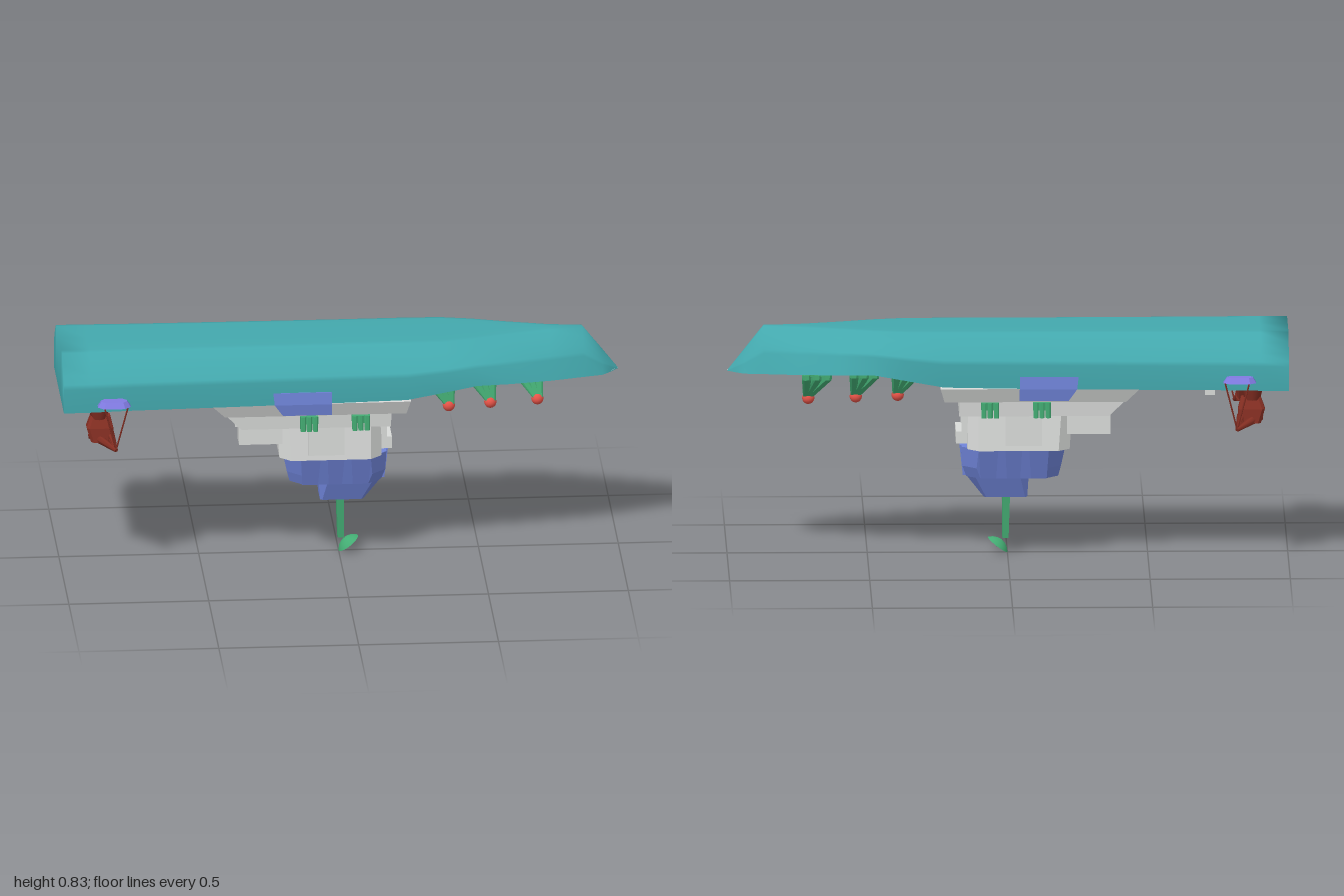
import * as THREE from 'three';
import { ConvexGeometry } from 'three/addons/geometries/ConvexGeometry.js';

const mat = (name, color, extra = {}) => {
  const m = new THREE.MeshStandardMaterial({ color, ...extra });
  m.name = name;
  return m;
};

export function createModel() {
  const group = new THREE.Group();
  const teal = mat('teal hull', 0x43a8ad, { side: THREE.DoubleSide });
  const grey = mat('light grey', 0xd9dbd9, { side: THREE.DoubleSide });
  const blue = mat('tower blue', 0x7085da);
  const violet = mat('boat violet', 0x807ae0);
  const green = mat('green', 0x43ac73, { side: THREE.DoubleSide });
  const red = mat('red', 0xec564a);
  const maroon = mat('maroon', 0x842e22);
  const gold = mat('gold', 0xc2974a);
  const V = (x, y, z) => new THREE.Vector3(x, y, z);

  const add = (name, geo, m, x = 0, y = 0, z = 0) => {
    const mesh = new THREE.Mesh(geo, m);
    mesh.name = name;
    mesh.position.set(x, y, z);
    group.add(mesh);
    return mesh;
  };
  const box = (name, m, x0, x1, y0, y1, z0, z1) =>
    add(name, new THREE.BoxGeometry(x1 - x0, y1 - y0, Math.abs(z1 - z0)), m, (x0 + x1) / 2, (y0 + y1) / 2, (z0 + z1) / 2);
  // solid through horizontal sections [y, x0, x1, half width, corner cut, centre z]
  const solid = (name, m, ...sections) => {
    const pts = [];
    for (const [y, x0, x1, w, c = 0, cz = 0] of sections)
      for (const s of [-1, 1]) {
        pts.push(V(x0 + c, y, cz + s * w), V(x1 - c, y, cz + s * w));
        if (c) pts.push(V(x0, y, cz + s * (w - c)), V(x1, y, cz + s * (w - c)));
      }
    return add(name, new ConvexGeometry(pts), m);
  };
  const rod = (name, m, a, b, r0, r1 = r0, sides = 6) => {
    const d = b.clone().sub(a);
    const mesh = add(name, new THREE.CylinderGeometry(r1, r0, d.length(), sides), m);
    mesh.position.copy(a).addScaledVector(d, 0.5);
    mesh.quaternion.setFromUnitVectors(V(0, 1, 0), d.normalize());
    return mesh;
  };
  // smooth skin over equal rows of points
  const skin = (rows) => {
    const n = rows[0].length, idx = [];
    for (let i = 0; i < rows.length - 1; i++)
      for (let j = 0; j < n - 1; j++) {
        const a = i * n + j, b = a + n;
        idx.push(a, b, a + 1, b, b + 1, a + 1);
      }
    const g = new THREE.BufferGeometry().setFromPoints(rows.flat());
    g.setIndex(idx);
    g.computeVertexNormals();
    return g;
  };

  // hull, keel upward: stations of x, half width, deck edge height
  const stations = [
    [-1, 0.253, 0.635], [-0.9, 0.251, 0.635], [-0.75, 0.243, 0.636], [-0.4, 0.236, 0.638], [0, 0.231, 0.642],
    [0.23, 0.232, 0.647], [0.37, 0.231, 0.672], [0.48, 0.222, 0.69], [0.6, 0.2, 0.686], [0.75, 0.155, 0.679],
    [0.87, 0.107, 0.673], [0.94, 0.078, 0.669], [0.97, 0.042, 0.667], [1, 0.001, 0.665],
  ];
  const full = [[1, 0], [1, 0.45], [0.965, 0.53], [0.87, 0.66], [0.75, 0.83], [0.59, 0.98], [0.5, 1], [0, 1]];
  const vee = [1, 0.8, 0.74, 0.6, 0.38, 0.14, 0.05, 0];
  const rows = stations.map(([x, w, yd]) => {
    const t = THREE.MathUtils.smoothstep(x, 0.3, 0.88);
    const keel = x > 0.87 ? 0.83 - ((x - 0.87) / 0.13) * 0.164 : 0.83;
    const half = full.map(([f, h], k) => V(x, yd + (keel - yd) * h, w * THREE.MathUtils.lerp(f, vee[k], t)));
    return [...half, ...half.slice(0, -1).reverse().map((p) => V(p.x, p.y, -p.z))];
  });
  const transom = rows[0].map((p) => V(-1, 0.635, p.z));
  add('hull', skin([transom, ...rows]), teal);

  // decks
  const deck = (name, list) => add(name, skin(list.map(([x, w, y]) => [V(x, y, -w), V(x, y, w)])), grey);
  deck('foreDeck', stations.slice(5).map(([x, w, y]) => [x, w * 0.985, y + 0.003]));
  deck('aftDeck', [[-0.98, 0.235, 0.662], [-0.42, 0.23, 0.662]]);
  box('sternRim', grey, -0.995, -0.97, 0.637, 0.67, -0.245, 0.245);
  for (const s of [-1, 1]) box('deckRim', grey, -0.98, -0.42, 0.64, 0.67, s * 0.215, s * 0.232);
  box('hangarBlock', grey, -0.7, -0.44, 0.612, 0.665, -0.12, 0.12);
  box('deckPost', grey, -0.74, -0.705, 0.575, 0.665, -0.03, 0.03);

  // superstructure tiers, stepping downward
  solid('mainDeckHouse', grey, [0.665, -0.5, 0.245, 0.215], [0.64, -0.47, 0.242, 0.23], [0.588, -0.42, 0.228, 0.208]);
  solid('foreWedge', grey, [0.69, 0.2, 0.31, 0.16], [0.642, 0.2, 0.27, 0.165]);
  solid('secondTier', grey, [0.592, -0.42, 0.175, 0.19], [0.532, -0.36, 0.175, 0.185]);
  solid('bridgeBlock', grey, [0.54, -0.23, 0.145, 0.15, 0.04], [0.4, -0.22, 0.145, 0.16, 0.04]);
  box('bridgeBalcony', grey, 0.12, 0.185, 0.413, 0.457, -0.085, 0.085);
  box('bridgeWindow', blue, 0.141, 0.149, 0.457, 0.538, -0.068, 0.068);
  for (const s of [-1, 1]) {
    box('foreHouse', grey, 0.1, 0.165, 0.457, 0.54, s * 0.07, s * 0.115);
    box('sidePanel', grey, -0.12, 0.01, 0.42, 0.53, s * 0.13, s * 0.165);
    box('aftWing', grey, -0.365, -0.21, 0.455, 0.535, s * 0.06, s * 0.13);
    // blue balcony and green gun tubes
    solid('sideBalcony', blue, [0.685, -0.25, -0.04, 0.018, 0, s * 0.218], [0.64, -0.245, -0.04, 0.02, 0, s * 0.218],
      [0.597, -0.215, -0.04, 0.02, 0, s * 0.21]);
    for (const x of [-0.12, 0.065]) {
      box('gunMount', green, x - 0.032, x + 0.032, 0.56, 0.587, s * 0.18, s * 0.22);
      for (const k of [-1, 0, 1])
        solid('gunTube', green, [0.588, x + k * 0.022 - 0.009, x + k * 0.022 + 0.009, 0.02, 0.004, s * 0.206],
          [0.533, x + k * 0.022 - 0.009, x + k * 0.022 + 0.009, 0.018, 0.004, s * 0.209]);
    }
  }

  // gold machinery behind the bridge
  box('machineBase', gold, -0.35, -0.22, 0.462, 0.48, -0.048, 0.048);
  for (const z of [-0.03, 0.03]) {
    rod('machineDrum', gold, V(-0.362, 0.497, z), V(-0.25, 0.497, z), 0.018, 0.018, 10);
    box('machineLeg', gold, -0.345, -0.32, 0.48, 0.535, z - 0.012, z + 0.012);
  }

  // blue tower
  solid('towerTop', blue, [0.402, -0.205, 0.165, 0.145, 0.06], [0.33, -0.19, 0.162, 0.122, 0.05], [0.29, -0.18, 0.148, 0.11, 0.05]);
  solid('towerBase', blue, [0.3, -0.075, 0.15, 0.09, 0.03], [0.29, -0.075, 0.145, 0.088, 0.03], [0.212, -0.07, 0.085, 0.055, 0.008]);
  for (const s of [-1, 1])
    for (const [x, w] of [[-0.11, 0.035], [-0.02, 0.03], [0.07, 0.035]])
      solid('towerRib', blue, [0.402, x - w, x + w, 0.02, 0, s * 0.138], [0.292, x - w * 0.8, x + w * 0.8, 0.02, 0, s * 0.097]);
  solid('towerFrontRib', blue, [0.402, 0.1, 0.172, 0.06], [0.292, 0.1, 0.16, 0.052]);

  // mast and dish
  solid('mast', green, [0.215, -0.009, 0.018, 0.033], [0.055, -0.004, 0.018, 0.02]);
  const bowl = [[0.001, 0], [0.018, 0.004], [0.033, 0.012], [0.044, 0.024]].map(([r, h]) => new THREE.Vector2(r, h));
  const dish = add('dish', new THREE.LatheGeometry(bowl, 24), green, 0.02, 0.047, 0);
  dish.quaternion.setFromUnitVectors(V(0, 1, 0), V(0.61, -0.79, 0).normalize());
  rod('dishFeed', green, V(0.02, 0.047, 0), V(0.04, 0.022, 0), 0.003, 0.001);

  // bow launchers tipped with red balls: x, ball z, top z
  [[0.39, 0.06, 0.028], [0.54, 0.036, -0.005], [0.71, 0.012, -0.042]].forEach(([x, z, top]) => {
    box('launcherFoot', green, x - 0.055, x + 0.015, 0.655, 0.688, top - 0.03, top + 0.03);
    for (const k of [-1, 0, 1]) {
      const cx = x - 0.03 + k * 0.037;
      solid('launcherBody', green, [0.66, cx - 0.017, cx + 0.017, 0.034, 0.008, top],
        [0.642, cx - 0.015, cx + 0.015, 0.034, 0.008, top],
        [0.57, x - 0.012 + k * 0.007, x + 0.012 + k * 0.007, 0.015, 0.004, z - 0.002]);
    }
    add('launcherTip', new THREE.SphereGeometry(0.022, 16, 12), red, x, 0.562, z);
  });

  // lifeboats, ropes and cranes
  for (const s of [-1, 1]) {
    solid('lifeboat', violet, [0.695, -0.87, -0.778, 0.021, 0.014, s * 0.298], [0.675, -0.882, -0.765, 0.035, 0.022, s * 0.298]);
    for (const x of [-0.86, -0.77]) rod('rope', maroon, V(x, 0.677, s * 0.287), V(-0.815, 0.497, s * 0.27), 0.003, 0.003, 5);
    rod('craneColumn', maroon, V(-0.87, 0.66, s * 0.18), V(-0.87, 0.59, s * 0.18), 0.045, 0.028, 8);
    solid('craneHead', maroon, [0.6, -0.9, -0.83, 0.022, 0.01, s * 0.175], [0.56, -0.915, -0.82, 0.03, 0.01, s * 0.185],
      [0.51, -0.9, -0.82, 0.022, 0.01, s * 0.2]);
    for (const x of [-0.895, -0.835]) rod('craneArm', maroon, V(x, 0.53, s * 0.18), V(-0.815, 0.498, s * 0.275), 0.02, 0.007);
    rod('craneStrut', maroon, V(-0.84, 0.55, s * 0.18), V(-0.815, 0.5, s * 0.272), 0.012, 0.006);
  }
  return group;
}
